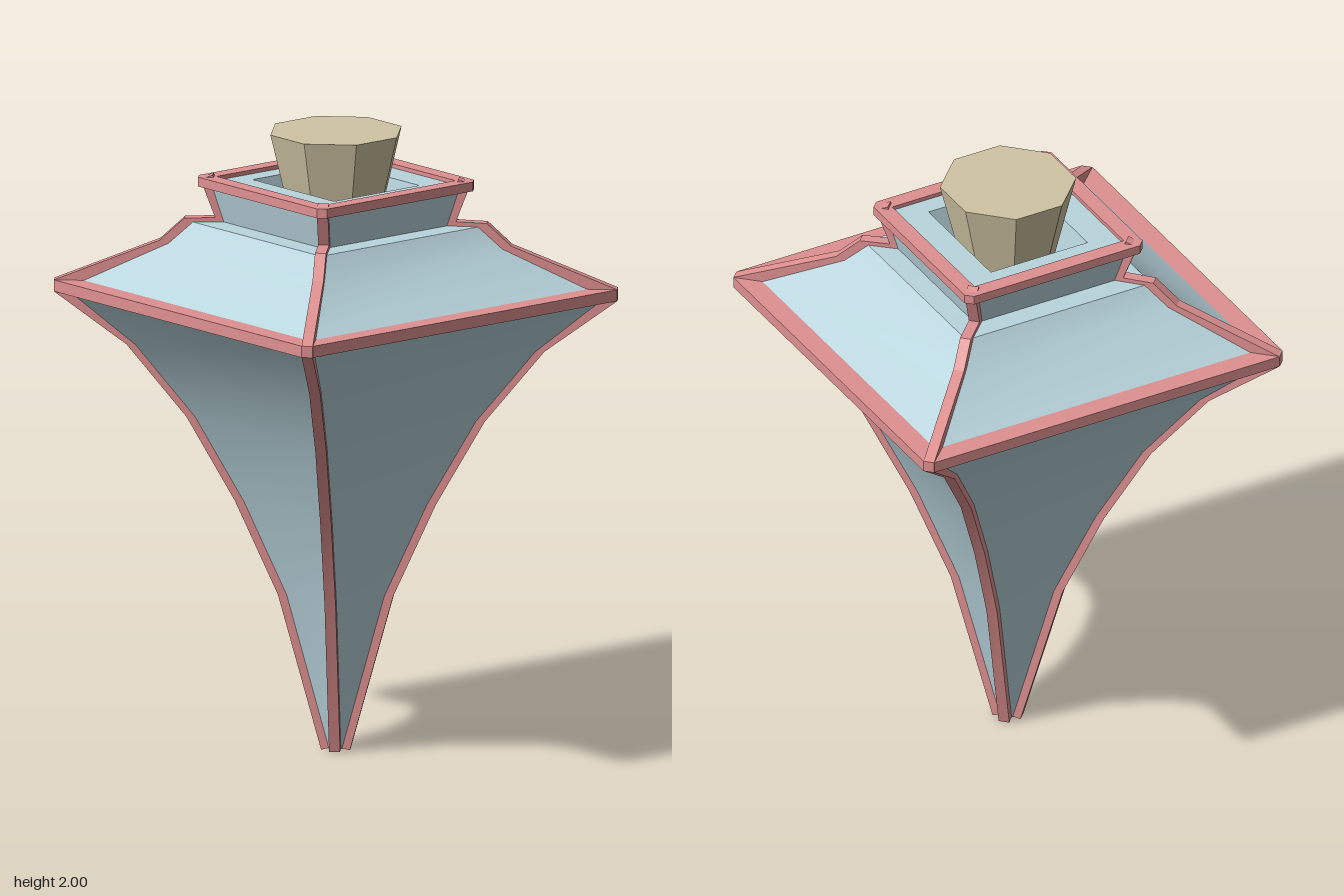
import * as THREE from 'three';
import { toCreasedNormals } from 'three/addons/utils/BufferGeometryUtils.js';

const ASPECT = 0.977; // the body is slightly narrower in x than in z

const glass = new THREE.MeshStandardMaterial({ color: 0xb9d5dd });
const trim = new THREE.MeshStandardMaterial({ color: 0xdf9090 });
const corkMaterial = new THREE.MeshStandardMaterial({ color: 0xd0c4a4, flatShading: true });

// Skin a stack of four-cornered rings (counterclockwise from the path's end), with end caps
function loft(rings, crease) {
  const index = [];
  for (let i = 0; i < rings.length - 1; i++) {
    for (let j = 0; j < 4; j++) {
      const k = (j + 1) % 4, a = i * 4, b = a + 4;
      index.push(a + j, a + k, b + k, a + j, b + k, b + j);
    }
  }
  const e = (rings.length - 1) * 4;
  index.push(0, 2, 1, 0, 3, 2, e, e + 1, e + 2, e, e + 2, e + 3);
  const geometry = new THREE.BufferGeometry();
  geometry.setAttribute('position', new THREE.Float32BufferAttribute(rings.flat(2), 3));
  geometry.setIndex(index);
  return toCreasedNormals(geometry, crease);
}

function add(group, name, geometry, material) {
  const mesh = new THREE.Mesh(geometry, material);
  mesh.name = name;
  group.add(mesh);
  return mesh;
}

// Square glass vessel, with a tapering mouth recess
function glassGeometry() {
  const p = (r, y) => [r * ASPECT, r, y];
  const profile = [
    p(0.027, 0.004), p(0.123, 0.5), p(0.22, 0.8), p(0.33, 1.07), p(0.465, 1.3),
    p(0.62, 1.475), p(0.615, 1.488), p(0.58, 1.506), p(0.39, 1.63), p(0.335, 1.7),
    p(0.265, 1.702), p(0.295, 1.832), [0.2, 0.175, 1.832], [0.17, 0.15, 1.7],
  ];
  return loft(profile.map(([x, z, y]) => [[x, y, z], [x, y, -z], [-x, y, -z], [-x, y, z]]), 0.6);
}

// Square bar following the body's edge at one corner
function cornerBar(sx, sz) {
  const path = [
    [0.045, 0], [0.143, 0.5], [0.24, 0.8], [0.35, 1.07], [0.485, 1.3], [0.65, 1.468],
    [0.65, 1.505], [0.41, 1.64], [0.355, 1.712], [0.285, 1.716], [0.318, 1.838],
  ].map(([r, y]) => new THREE.Vector2((r - 0.0125) * Math.SQRT2, y));
  const half = 0.0175, depth = 0.042;
  const dx = sx * Math.SQRT1_2, dz = sz * Math.SQRT1_2;
  const inward = (a, b) => {
    const t = b.clone().sub(a).normalize();
    return new THREE.Vector2(-t.y, t.x);
  };
  const rings = path.map((c, i) => {
    const before = i > 0 ? inward(path[i - 1], c) : inward(c, path[1]);
    const after = i < path.length - 1 ? inward(c, path[i + 1]) : before;
    const n = before.clone().add(after).normalize();
    const miter = Math.min(1.3, 1 / n.dot(after));
    const inner = c.clone().addScaledVector(n, depth * miter);
    const at = (q, s) => [q.x * dx * ASPECT + dz * s, q.y, q.x * dz - dx * s];
    return [at(c, -half), at(c, half), at(inner, half), at(inner, -half)];
  });
  return loft(rings, 0.3);
}

// Flat square band with clipped corners
function band(outer, inner, y, height, clip) {
  const x = outer * ASPECT, z = outer;
  const shape = new THREE.Shape([
    [x, z - clip], [x - clip, z], [clip - x, z], [-x, z - clip],
    [-x, clip - z], [clip - x, -z], [x - clip, -z], [x, clip - z],
  ].map(([a, b]) => new THREE.Vector2(a, b)));
  const hx = inner * ASPECT;
  shape.holes.push(new THREE.Path([
    [hx, inner], [hx, -inner], [-hx, -inner], [-hx, inner],
  ].map(([a, b]) => new THREE.Vector2(a, b))));
  const geometry = new THREE.ExtrudeGeometry(shape, { depth: height, bevelEnabled: false });
  return geometry.rotateX(-Math.PI / 2).translate(0, y, 0);
}

export function createModel() {
  const model = new THREE.Group();
  model.name = 'bottle';

  add(model, 'glassBody', glassGeometry(), glass);

  // Trim along the four corners, the widest edge and the mouth
  const frame = new THREE.Group();
  frame.name = 'trimFrame';
  for (const sx of [1, -1]) {
    for (const sz of [1, -1]) {
      const name = (sz > 0 ? 'front' : 'back') + (sx > 0 ? 'Left' : 'Right') + 'CornerBar';
      add(frame, name, cornerBar(sx, sz), trim);
    }
  }
  add(frame, 'girdleBand', band(0.65, 0.57, 1.468, 0.037, 0.026), trim);
  add(frame, 'mouthRim', band(0.322, 0.27, 1.815, 0.03, 0.022), trim);
  model.add(frame);

  // Eight-sided tapered stopper
  const toCorner = 1 / Math.cos(Math.PI / 8);
  const cork = new THREE.CylinderGeometry(0.2 * toCorner, 0.135 * toCorner, 0.29, 8);
  cork.rotateY(Math.PI / 8);
  add(model, 'stopper', cork, corkMaterial).position.y = 1.855;

  return model;
}
